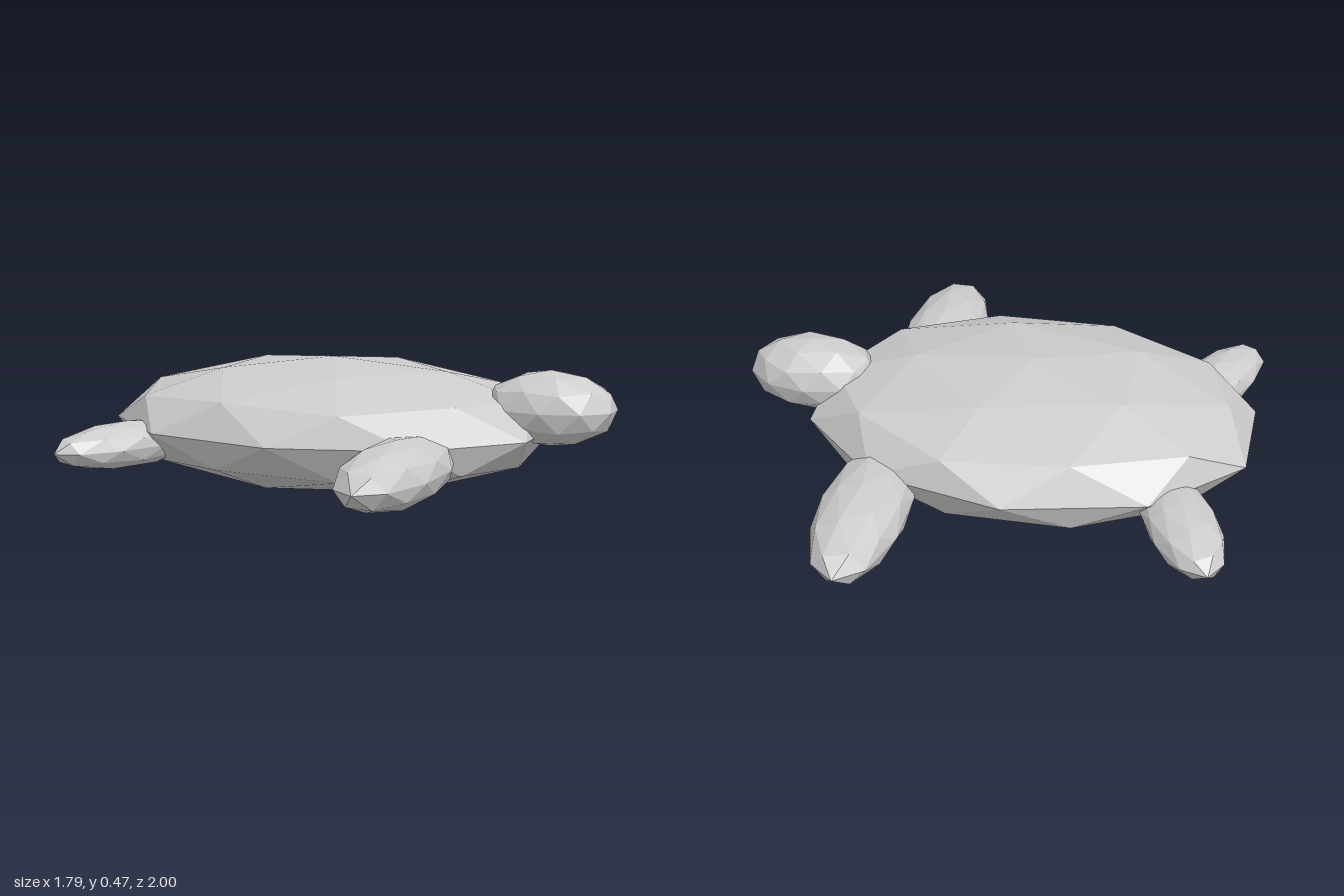
import * as THREE from 'three';

// Faceted ball of 80 triangles with a vertex at each pole
function makeBall() {
  const h = 1 / Math.sqrt(5), r = 2 * h;
  const verts = [0, 1, 0], faces = [];
  for (const [y, offset] of [[h, 0], [-h, Math.PI / 5]]) {
    for (let k = 0; k < 5; k++) {
      const a = offset + (k * 2 * Math.PI) / 5;
      verts.push(r * Math.cos(a), y, r * Math.sin(a));
    }
  }
  verts.push(0, -1, 0);
  for (let k = 0; k < 5; k++) {
    const n = (k + 1) % 5;
    const u = 1 + k, uNext = 1 + n, l = 6 + k, lNext = 6 + n;
    faces.push(0, uNext, u, u, uNext, l, l, uNext, lNext, 11, l, lNext);
  }
  return new THREE.PolyhedronGeometry(verts, faces, 1, 1);
}

export function createModel() {
  const group = new THREE.Group();
  const ball = makeBall();
  const material = new THREE.MeshStandardMaterial({ color: 0xcccccc, flatShading: true });

  // Each part is a stretched ball, optionally turned about the vertical
  function addPart(name, position, radii, turn = 0) {
    const mesh = new THREE.Mesh(ball, material);
    mesh.name = name;
    mesh.position.set(...position);
    mesh.scale.set(...radii);
    mesh.rotation.y = THREE.MathUtils.degToRad(turn);
    group.add(mesh);
  }

  addPart('shell', [-0.13, 0.233, 0.02], [0.81, 0.233, 0.6]);
  addPart('head', [0.67, 0.325, 0.02], [0.234, 0.131, 0.158]);

  // Long front flippers
  for (const side of [-1, 1]) {
    addPart(side < 0 ? 'frontFlipperA' : 'frontFlipperB', [0.328, 0.18, 0.61 * side], [0.155, 0.109, 0.39]);
  }

  // Short back flippers, splayed backwards
  addPart('backFlipperA', [-0.72, 0.183, -0.47], [0.124, 0.081, 0.3], 23);
  addPart('backFlipperB', [-0.73, 0.183, 0.46], [0.118, 0.081, 0.3], -25);

  return group;
}
